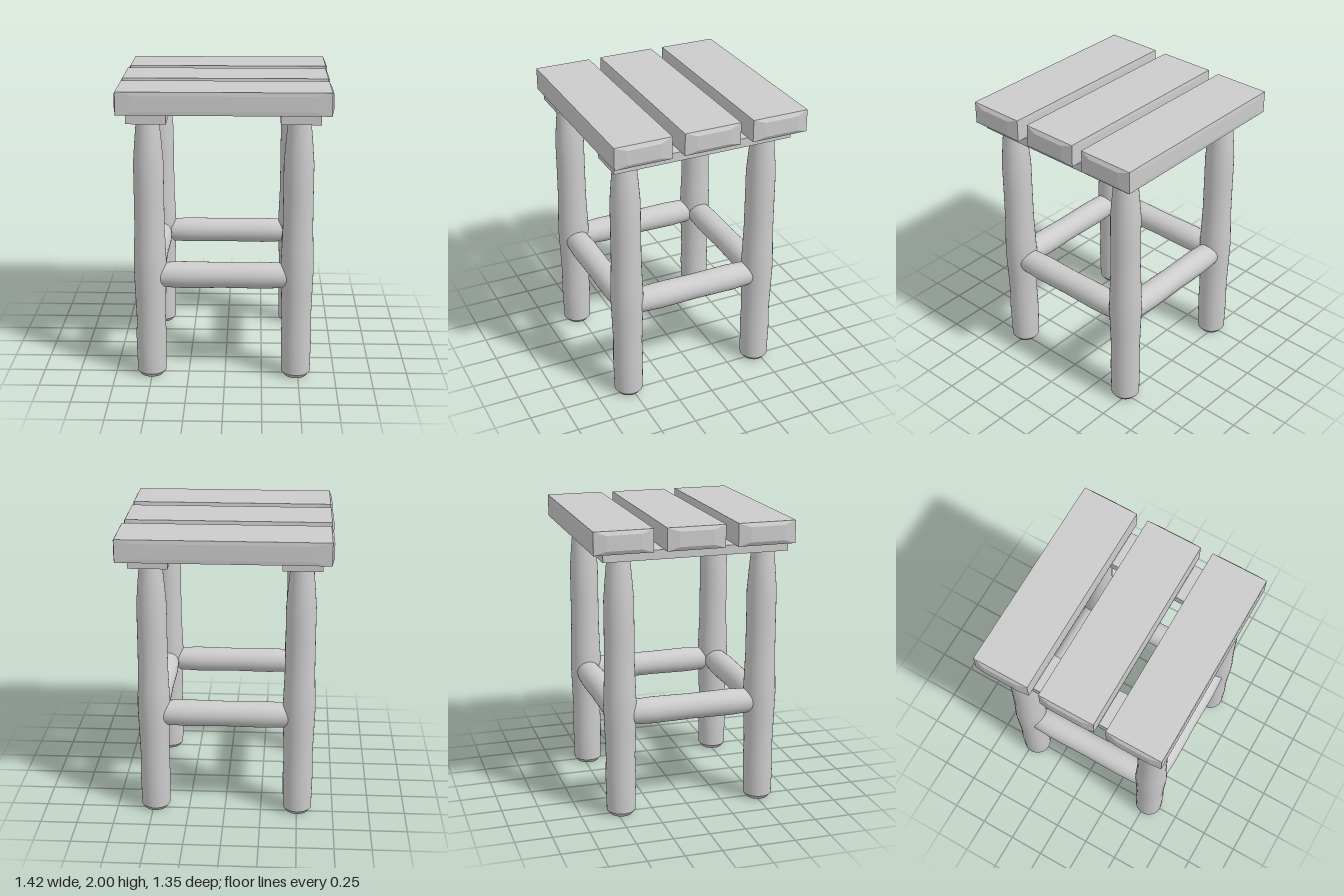
import * as THREE from 'three';
import { toCreasedNormals } from 'three/addons/utils/BufferGeometryUtils.js';
import { ConvexGeometry } from 'three/addons/geometries/ConvexGeometry.js';

const material = new THREE.MeshStandardMaterial({ color: 0xcccccc });

// Turned log: closed profile of [radius, height] points
function turned(profile, segments = 32) {
  const points = profile.map(([r, y]) => new THREE.Vector2(r, y));
  return toCreasedNormals(new THREE.LatheGeometry(points, segments), 0.45);
}

// Box whose faces swell into a shallow raised panel; inset and bulge are per axis
function swollenBox(half, inset, bulge) {
  const points = [];
  for (const sx of [-1, 1]) for (const sy of [-1, 1]) for (const sz of [-1, 1]) {
    const sign = [sx, sy, sz];
    points.push(new THREE.Vector3(...half.map((h, i) => sign[i] * h)));
    for (let axis = 0; axis < 3; axis++) {
      points.push(new THREE.Vector3(...half.map((h, i) =>
        sign[i] * (i === axis ? h + bulge[i] : h - inset[i]))));
    }
  }
  return new ConvexGeometry(points);
}

export function createModel() {
  const stool = new THREE.Group();
  stool.name = 'stool';
  const add = (name, geometry, x, y, z) => {
    const mesh = new THREE.Mesh(geometry, material);
    mesh.name = name;
    mesh.position.set(x, y, z);
    stool.add(mesh);
    return mesh;
  };

  const legX = { right: -0.503, left: 0.484 };
  const legZ = { front: 0.519, back: -0.471 };

  // Legs: chamfered foot, swelling at the stretchers, tapered neck
  const legGeometry = turned([
    [0, 0.004], [0.076, 0.004], [0.098, 0.032], [0.103, 0.27], [0.099, 0.42],
    [0.105, 0.6], [0.111, 0.78], [0.106, 0.92], [0.101, 1.05], [0.1, 1.28],
    [0.1, 1.5], [0.089, 1.64], [0.075, 1.79], [0, 1.79],
  ]);
  for (const [end, z] of Object.entries(legZ)) {
    for (const [side, x] of Object.entries(legX)) add(`${end} ${side} leg`, legGeometry, x, 0, z);
  }

  // Stretchers joining the legs on all four sides
  const stretcherGeometry = turned([
    [0, -0.49], [0.07, -0.49], [0.084, -0.4], [0.09, -0.27], [0.088, -0.12], [0.086, 0],
    [0.088, 0.12], [0.09, 0.27], [0.084, 0.4], [0.07, 0.49], [0, 0.49],
  ]);
  const midX = (legX.left + legX.right) / 2;
  const midZ = (legZ.front + legZ.back) / 2;
  for (const [end, z] of Object.entries(legZ)) {
    add(`${end} stretcher`, stretcherGeometry, midX, 0.722, z).rotation.z = Math.PI / 2;
  }
  for (const [side, x] of Object.entries(legX)) {
    add(`${side} stretcher`, stretcherGeometry, x, 0.722, midZ).rotation.x = Math.PI / 2;
  }

  // Battens under the seat, one over each pair of legs
  const battenGeometry = new THREE.BoxGeometry(0.26, 0.062, 1.25);
  add('right batten', battenGeometry, -0.505, 1.816, 0.02);
  add('left batten', battenGeometry, 0.489, 1.816, 0.02);

  // Seat planks with raised end faces
  const plankGeometry = swollenBox([0.69, 0.076, 0.196], [0.12, 0.026, 0.08], [0.015, 0.001, 0.003]);
  add('back plank', plankGeometry, 0, 1.922, -0.482);
  add('middle plank', plankGeometry, -0.007, 1.922, -0.005);
  add('front plank', plankGeometry, -0.006, 1.922, 0.473);

  return stool;
}
